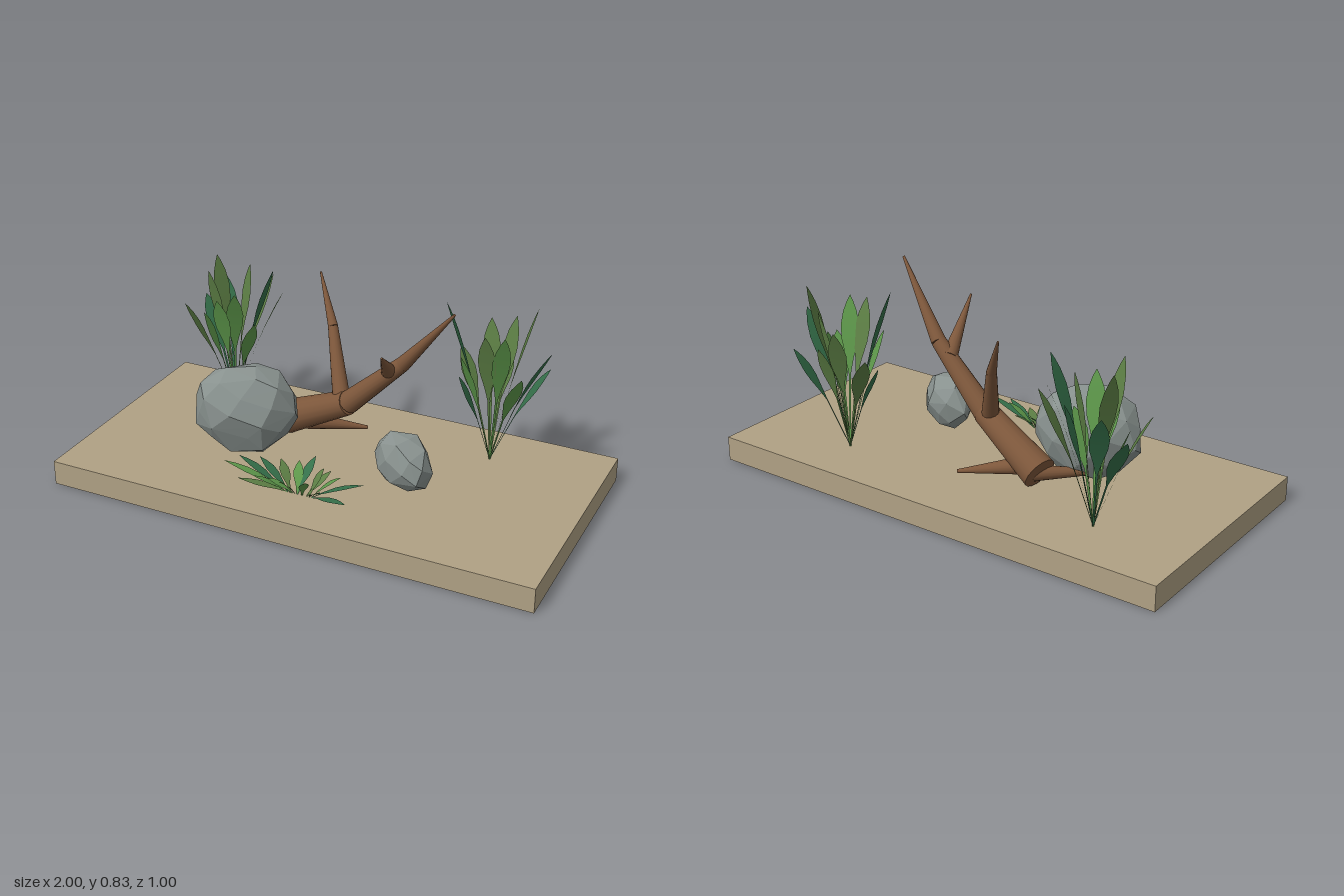
import * as THREE from 'three';
import { mergeGeometries } from 'three/addons/utils/BufferGeometryUtils.js';
import { ConvexGeometry } from 'three/addons/geometries/ConvexGeometry.js';

const V = (x, y, z) => new THREE.Vector3(x, y, z);

function material(name, color, extra = {}) {
  const m = new THREE.MeshStandardMaterial({ color, ...extra });
  m.name = name;
  return m;
}

function seeded(seed) {
  return () => {
    seed = (seed * 16807) % 2147483647;
    return seed / 2147483647;
  };
}

// Faceted boulder: a jittered ellipsoid hull, turned, then fitted to a box
function rock(name, mat, seed, count, stretch, turn, min, max) {
  const rand = seeded(seed);
  const points = [];
  for (let i = 0; i < count; i++) {
    const y = 1 - (2 * i + 1) / count;
    const r = Math.sqrt(1 - y * y);
    const a = i * 2.39996 + rand() * 0.35;
    const p = V(r * Math.cos(a), y, r * Math.sin(a)).multiplyScalar(0.9 + rand() * 0.14);
    points.push(p.multiply(stretch).applyAxisAngle(V(0, 1, 0), turn));
  }
  const box = new THREE.Box3().setFromPoints(points);
  const size = box.getSize(V());
  const fit = max.clone().sub(min).divide(size);
  points.forEach((p) => p.sub(box.min).multiply(fit).add(min));
  const mesh = new THREE.Mesh(new ConvexGeometry(points), mat);
  mesh.name = name;
  return mesh;
}

// Tapered round limb between two points
function limb(name, mat, a, b, ra, rb) {
  const dir = b.clone().sub(a);
  const mesh = new THREE.Mesh(new THREE.CylinderGeometry(rb, ra, dir.length(), 16), mat);
  mesh.position.copy(a).add(b).multiplyScalar(0.5);
  mesh.quaternion.setFromUnitVectors(V(0, 1, 0), dir.normalize());
  mesh.name = name;
  return mesh;
}

// Thin stalk widening into a pointed blade that arches outward
function leaf(base, tip, profile, halfWidth, bend) {
  const d = tip.clone().sub(base);
  const control = base.clone().add(V(d.x * (0.5 - bend), d.y * (0.5 + bend), d.z * (0.5 - bend)));
  const curve = new THREE.QuadraticBezierCurve3(base, control, tip);
  const side = V(d.z, 0, -d.x).normalize();
  const pos = [];
  const index = [];
  profile.forEach(([t, w], i) => {
    const p = curve.getPoint(t);
    for (const s of [-1, 1]) pos.push(...p.clone().addScaledVector(side, s * w * halfWidth).toArray());
    const k = 2 * i;
    if (i) index.push(k - 2, k - 1, k, k - 1, k + 1, k);
  });
  const g = new THREE.BufferGeometry();
  g.setAttribute('position', new THREE.Float32BufferAttribute(pos, 3));
  g.setIndex(index);
  g.computeVertexNormals();
  return g;
}

const STALK = [[0, 0.09], [0.45, 0.12], [0.56, 0.45], [0.68, 0.9], [0.78, 1], [0.88, 0.75], [0.95, 0.38], [1, 0.02]];
const BLADE = [[0, 0.12], [0.25, 0.4], [0.5, 0.95], [0.68, 1], [0.85, 0.6], [1, 0.02]];

// Each row is [base x, tip x, tip y, tip z, green index]
function plant(name, greens, rows, baseY, baseZ, profile, halfWidth, bend) {
  const group = new THREE.Group();
  group.name = name;
  greens.forEach((mat, c) => {
    const geos = rows.filter((r) => r[4] === c)
      .map(([bx, x, y, z]) => leaf(V(bx, baseY, baseZ), V(x, y, z), profile, halfWidth, bend));
    const mesh = new THREE.Mesh(mergeGeometries(geos), mat);
    mesh.name = 'leaves ' + mat.name;
    group.add(mesh);
  });
  return group;
}

export function createModel() {
  const model = new THREE.Group();
  model.name = 'plantedRockScene';

  const sand = material('sand', 0xb0a184);
  const stone = material('stone', 0x88918e, { flatShading: true });
  const wood = material('wood', 0x7d573b);
  const greens = [
    material('deepGreen', 0x35704a, { side: THREE.DoubleSide }),
    material('oliveGreen', 0x5d7f45, { side: THREE.DoubleSide }),
    material('leafGreen', 0x5f9a4c, { side: THREE.DoubleSide }),
  ];

  // Ground slab
  const slab = new THREE.Mesh(new THREE.BoxGeometry(2, 0.1, 1), sand);
  slab.position.y = 0.05;
  slab.name = 'groundSlab';
  model.add(slab);

  // Boulders
  model.add(
    rock('largeRock', stone, 71, 44, V(1.7, 1.5, 1), 0.3, V(-0.57, 0.1, -0.07), V(-0.16, 0.47, 0.21)),
    rock('smallRock', stone, 913, 32, V(1.35, 1.1, 0.9), -0.5, V(0.2, 0.12, 0.005), V(0.455, 0.34, 0.2)),
  );

  // Driftwood: trunk, two branches and two roots
  const driftwood = new THREE.Group();
  driftwood.name = 'driftwood';
  const bend = V(0.01, 0.32, -0.083);
  const fork = V(0.25, 0.55, -0.06);
  const knee = V(-0.125, 0.565, -0.225);
  driftwood.add(
    limb('trunkBase', wood, V(-0.285, 0.165, -0.14), bend, 0.07, 0.05),
    limb('trunkMiddle', wood, bend, fork, 0.047, 0.03),
    limb('trunkTip', wood, fork, V(0.482, 0.83, 0.02), 0.03, 0.005),
    limb('backBranch', wood, V(-0.02, 0.31, -0.09), knee, 0.036, 0.02),
    limb('backBranchTip', wood, knee, V(-0.23, 0.74, -0.33), 0.02, 0.004),
    limb('frontBranch', wood, V(0.19, 0.5, -0.07), V(0.263, 0.675, 0.168), 0.032, 0.004),
    limb('backRoot', wood, V(-0.2, 0.17, -0.13), V(0.02, 0.13, -0.25), 0.036, 0.007),
    limb('frontRoot', wood, V(-0.25, 0.155, -0.14), V(-0.42, 0.14, 0.04), 0.032, 0.012),
  );
  model.add(driftwood);

  // Tall plants behind the rocks
  const tallLeft = [
    [-0.72, 0.6, -0.42, 0], [-0.8, 0.52, -0.38, 0], [-0.79, 0.55, -0.19, 1], [-0.71, 0.73, -0.33, 1],
    [-0.65, 0.73, -0.16, 1], [-0.6, 0.62, -0.13, 2], [-0.53, 0.65, -0.15, 2], [-0.47, 0.51, -0.2, 2],
    [-0.42, 0.73, -0.28, 0], [-0.41, 0.61, -0.34, 1], [-0.48, 0.66, -0.39, 1], [-0.56, 0.71, -0.34, 1],
    [-0.73, 0.5, -0.24, 2], [-0.5, 0.56, -0.31, 0],
  ].map((r) => [-0.608, ...r]);
  const tallRight = [
    [0.36, 0.77, -0.21, 0], [0.37, 0.53, -0.36, 1], [0.47, 0.64, -0.42, 1], [0.55, 0.56, -0.42, 1],
    [0.59, 0.69, -0.37, 1], [0.69, 0.76, -0.32, 1], [0.74, 0.5, -0.36, 0], [0.78, 0.63, -0.23, 0],
    [0.69, 0.53, -0.16, 2], [0.62, 0.69, -0.15, 2], [0.55, 0.69, -0.13, 1], [0.45, 0.58, -0.15, 2],
    [0.41, 0.45, -0.24, 0], [0.62, 0.58, -0.29, 2],
  ].map((r) => [0.542, ...r]);
  model.add(
    plant('tallPlantLeft', greens, tallLeft, 0.1, -0.272, STALK, 0.036, 0.08),
    plant('tallPlantRight', greens, tallRight, 0.1, -0.272, STALK, 0.036, 0.08),
  );

  // Low spreading plant at the front
  const low = [
    [-0.08, -0.31, 0.2, 0.345, 2], [-0.08, -0.27, 0.21, 0.3, 0], [-0.06, -0.2, 0.2, 0.26, 0],
    [-0.07, -0.17, 0.18, 0.37, 2], [-0.05, -0.12, 0.2, 0.24, 1], [-0.03, -0.06, 0.18, 0.37, 1],
    [-0.02, 0, 0.21, 0.18, 0], [0, 0.04, 0.19, 0.35, 2], [0.02, 0.08, 0.18, 0.21, 1],
    [0.03, 0.1, 0.16, 0.35, 1], [0.04, 0.15, 0.2, 0.27, 2], [0.04, 0.25, 0.2, 0.285, 0],
    [0.04, 0.22, 0.16, 0.38, 0], [-0.02, -0.05, 0.2, 0.22, 2], [-0.06, -0.25, 0.14, 0.35, 1],
    [0.03, 0.07, 0.21, 0.25, 1], [-0.04, -0.13, 0.16, 0.33, 2],
  ];
  model.add(plant('lowPlant', greens, low, 0.1, 0.3, BLADE, 0.019, 0.12));

  return model;
}
